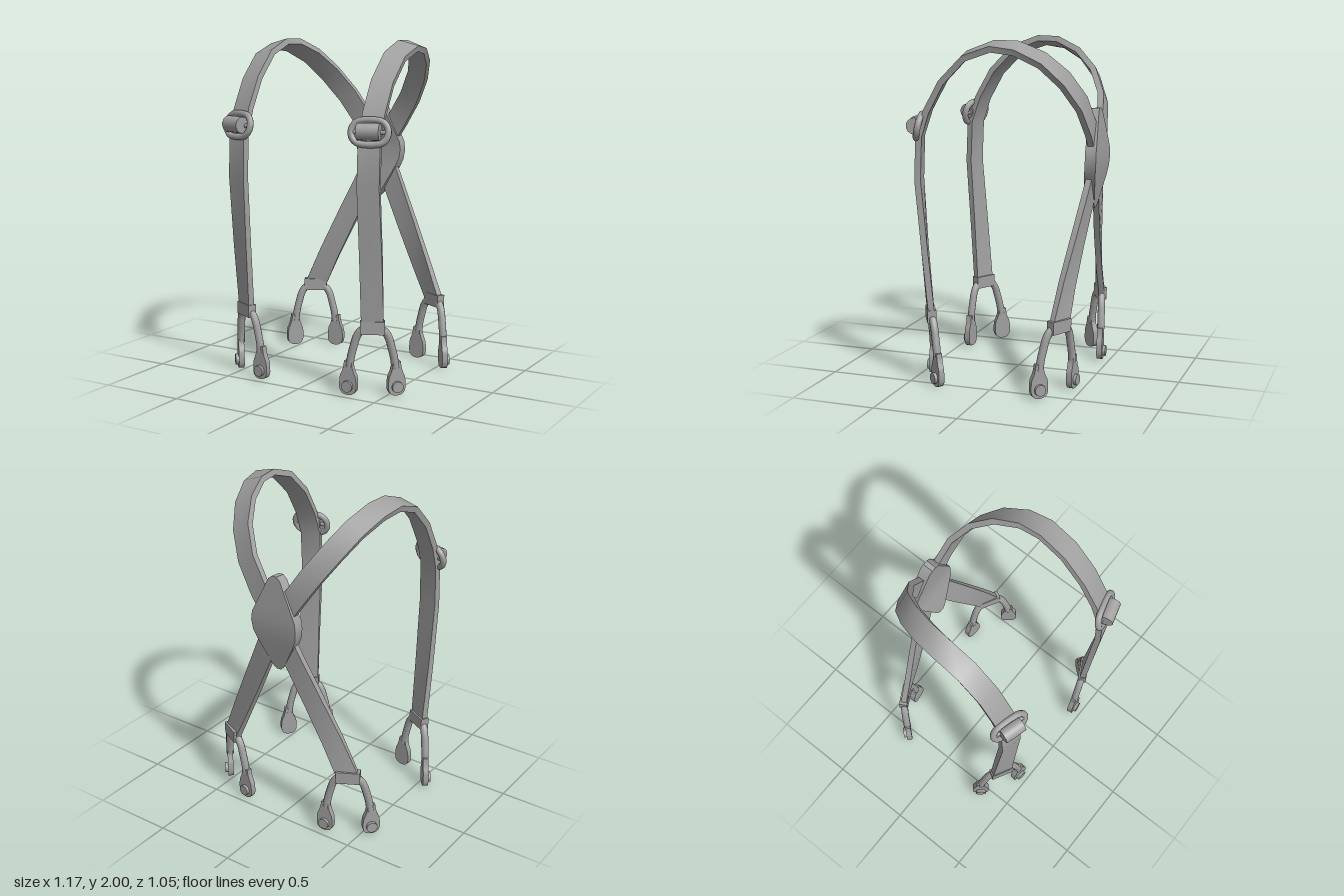
import * as THREE from 'three';
import { toCreasedNormals } from 'three/addons/utils/BufferGeometryUtils.js';

const V = (x, y, z) => new THREE.Vector3(x, y, z);
const grey = new THREE.MeshStandardMaterial({ color: 0xa0a0a0 });
grey.name = 'grey';

function mesh(name, geometry, parent) {
  const m = new THREE.Mesh(geometry, grey);
  m.name = name;
  parent.add(m);
  return m;
}

// Flat band swept through stations { p: centre, n: outward hint, w: half width }
function band(stations, thickness) {
  const pos = [], idx = [], last = stations.length - 1;
  stations.forEach((s, i) => {
    const T = stations[Math.min(i + 1, last)].p.clone().sub(stations[Math.max(i - 1, 0)].p).normalize();
    const W = s.n.clone().cross(T).normalize();
    const N = T.clone().cross(W).multiplyScalar(thickness / 2);
    W.multiplyScalar(s.w);
    for (const [a, b] of [[-1, -1], [1, -1], [1, 1], [-1, 1]]) {
      const c = s.p.clone().addScaledVector(W, a).addScaledVector(N, b);
      pos.push(c.x, c.y, c.z);
    }
    if (i === last) return;
    for (let k = 0; k < 4; k++) {
      const a = i * 4 + k, b = i * 4 + (k + 1) % 4;
      idx.push(a, b, b + 4, a, b + 4, a + 4);
    }
  });
  const e = last * 4;
  idx.push(0, 3, 2, 0, 2, 1, e, e + 1, e + 2, e, e + 2, e + 3);
  const g = new THREE.BufferGeometry();
  g.setAttribute('position', new THREE.Float32BufferAttribute(pos, 3));
  g.setIndex(idx);
  return toCreasedNormals(g, 0.6);
}

// Strap stations: centre x, y, z then outward direction
const STRAP = [
  [0.43, 0.40, 0.395, 0.47, 0, 0.88],
  [0.435, 0.80, 0.425, 0.35, 0, 0.94],
  [0.435, 1.20, 0.455, 0.25, 0, 0.97],
  [0.435, 1.45, 0.445, 0.25, 0.1, 0.96],
  [0.435, 1.60, 0.395, 0.22, 0.4, 0.87],
  [0.435, 1.77, 0.30, 0.22, 0.6, 0.8],
  [0.437, 1.91, 0.16, 0.23, 0.85, 0.5],
  [0.437, 1.967, 0, 0.24, 0.97, 0],
  [0.42, 1.957, -0.13, 0.3, 0.9, -0.4],
  [0.375, 1.89, -0.27, 0.3, 0.7, -0.65],
  [0.31, 1.78, -0.38, 0.25, 0.4, -0.9],
  [0.22, 1.64, -0.455, 0.15, 0.2, -1],
  [0.12, 1.49, -0.48, 0.05, 0.1, -1],
  [0, 1.31, -0.488, 0, 0, -1],
  [-0.10, 1.10, -0.465, -0.05, 0, -1],
  [-0.22, 0.85, -0.435, -0.15, 0, -1],
  [-0.33, 0.62, -0.41, -0.3, 0, -0.95],
  [-0.43, 0.40, -0.395, -0.47, 0, -0.88],
];

// Back plate rows: y, z, half width
const PLATE = [
  [1.60, -0.470, 0.015], [1.58, -0.472, 0.04], [1.40, -0.486, 0.128], [1.36, -0.488, 0.148],
  [1.31, -0.489, 0.155], [1.25, -0.484, 0.147], [1.20, -0.477, 0.125], [1.045, -0.449, 0.04], [1.02, -0.445, 0.015],
];

// Oval adjuster ring with crossbar and rolled strap end
function adjuster(sx) {
  const g = new THREE.Group();
  g.name = 'adjuster';
  const pts = [];
  for (const side of [1, -1])
    for (let i = 0; i <= 6; i++) {
      const a = -Math.PI / 2 + Math.PI * i / 6;
      pts.push(V(side * (0.04 + 0.065 * Math.cos(a)), side * 0.067 * Math.sin(a), 0));
    }
  mesh('adjusterRing', new THREE.TubeGeometry(new THREE.CatmullRomCurve3(pts, true), 40, 0.019, 10, true), g);
  const bar = mesh('adjusterBar', new THREE.CylinderGeometry(0.013, 0.013, 0.21, 10), g);
  const roll = mesh('strapRoll', new THREE.CylinderGeometry(0.048, 0.048, 0.128, 14), g);
  bar.rotation.z = roll.rotation.z = Math.PI / 2;
  roll.position.z = 0.024;
  g.position.set(sx * 0.435, 1.508, 0.447);
  g.rotation.set(-0.22, sx * 0.28, 0, 'YXZ');
  return g;
}

// Paddle outline at the end of each fork arm
function paddleGeometry() {
  const s = new THREE.Shape();
  s.moveTo(0.022, 0.2);
  s.lineTo(-0.022, 0.2);
  s.quadraticCurveTo(-0.026, 0.15, -0.046, 0.115);
  s.quadraticCurveTo(-0.053, 0.09, -0.052, 0.045);
  s.quadraticCurveTo(-0.048, 0, 0, 0);
  s.quadraticCurveTo(0.048, 0, 0.052, 0.045);
  s.quadraticCurveTo(0.053, 0.09, 0.046, 0.115);
  s.quadraticCurveTo(0.026, 0.15, 0.022, 0.2);
  const g = new THREE.ExtrudeGeometry(s, { depth: 0.034, bevelEnabled: false, curveSegments: 4 });
  g.translate(0, 0, -0.017);
  return toCreasedNormals(g, 0.6);
}

// Forked clip curving round the waist at one strap end
function clip(sx, sz) {
  const g = new THREE.Group();
  g.name = 'clip';
  const R = 0.37, yaw0 = 0.49, cx = 0.43 - R * Math.sin(yaw0), cz = 0.395 - R * Math.cos(yaw0);
  const at = (s, y) => {
    const a = yaw0 + s / R;
    return V(sx * (cx + R * Math.sin(a)), y, sz * (cz + R * Math.cos(a)));
  };
  const turn = s => Math.atan2(sx * Math.sin(yaw0 + s / R), sz * Math.cos(yaw0 + s / R));

  const cap = mesh('clipCap', new THREE.BoxGeometry(0.142, 0.075, 0.052), g);
  cap.position.copy(at(0, 0.4));
  cap.rotation.y = turn(0);

  for (const side of [-1, 1]) {
    const path = [[0.015, 0.395], [0.06, 0.385], [0.09, 0.345], [0.11, 0.28], [0.125, 0.22], [0.133, 0.16]];
    const curve = new THREE.CatmullRomCurve3(path.map(([s, y]) => at(side * s, y)));
    mesh('forkArm', new THREE.TubeGeometry(curve, 14, 0.023, 10), g);

    const tip = new THREE.Group();
    tip.name = 'forkTip';
    tip.position.copy(at(side * 0.138, 0));
    tip.rotation.y = turn(side * 0.138);
    mesh('paddle', paddleGeometry(), tip);
    const button = mesh('button', new THREE.CylinderGeometry(0.033, 0.033, 0.03, 16), tip);
    button.rotation.x = Math.PI / 2;
    button.position.set(0, 0.052, 0.02);
    g.add(tip);
  }
  return g;
}

export function createModel() {
  const model = new THREE.Group();
  model.name = 'suspenders';
  for (const sx of [1, -1]) {
    const stations = STRAP.map(([x, y, z, a, b, c]) => ({ p: V(sx * x, y, z), n: V(sx * a, b, c), w: 0.064 }));
    mesh(sx > 0 ? 'leftStrap' : 'rightStrap', band(stations, 0.036), model);
    model.add(adjuster(sx), clip(sx, 1), clip(sx, -1));
  }
  // Curved diamond plate holding the crossing
  const rows = PLATE.map(([y, z, w]) => ({ p: V(0, y, z), n: V(0, 0, -1), w }));
  mesh('backPlate', band(rows, 0.066), model);
  return model;
}
